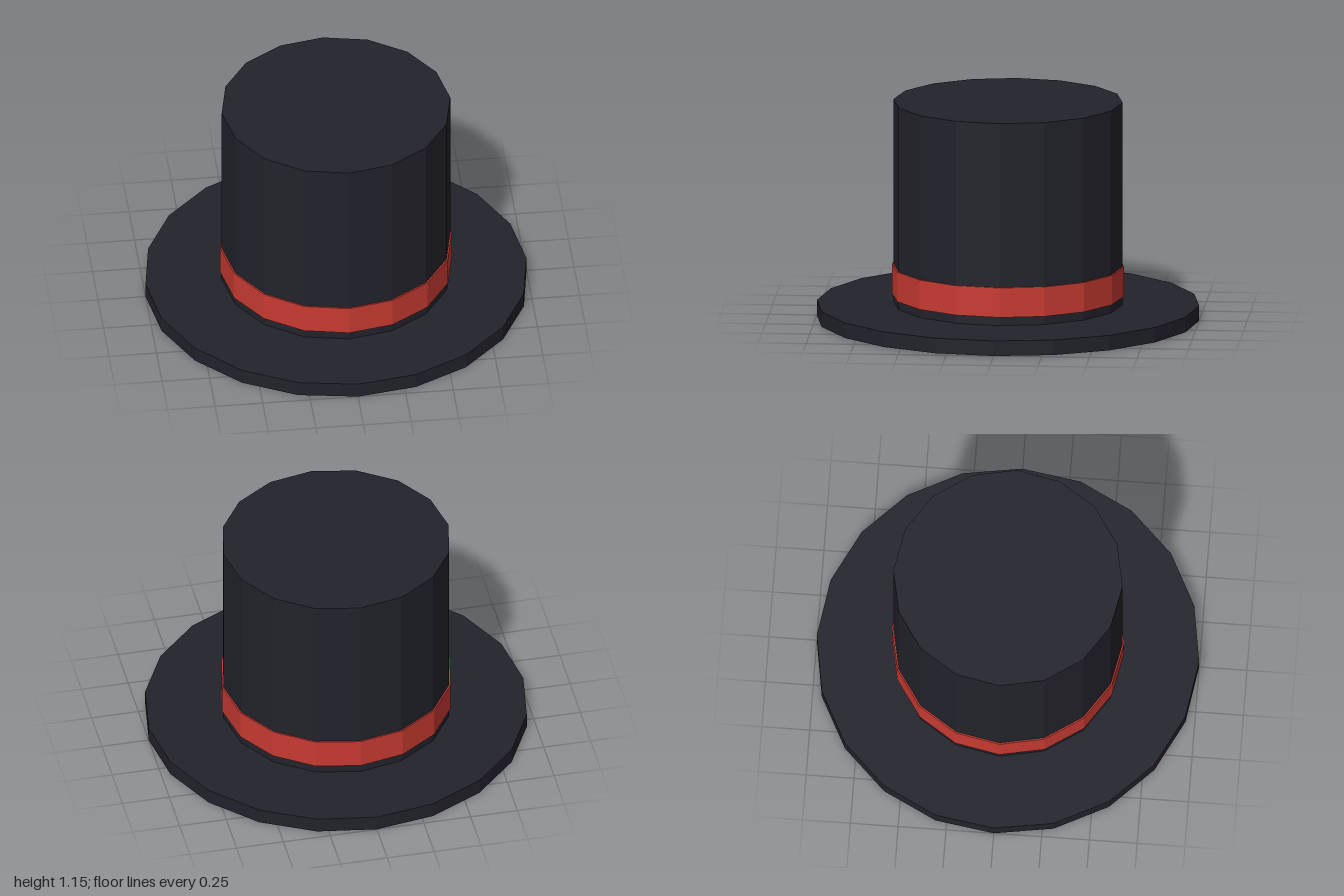
import * as THREE from 'three';

export function createModel() {
  const group = new THREE.Group();
  group.name = 'topHat';

  const felt = new THREE.MeshStandardMaterial({ color: 0x22222b, flatShading: true });
  felt.name = 'dark felt';
  const ribbon = new THREE.MeshStandardMaterial({ color: 0xc83a32, flatShading: true });
  ribbon.name = 'red ribbon';

  // Upright faceted disc or drum between two heights
  function drum(name, radius, bottom, top, sides, material) {
    const geometry = new THREE.CylinderGeometry(radius, radius, top - bottom, sides);
    const mesh = new THREE.Mesh(geometry, material);
    mesh.name = name;
    mesh.position.y = (bottom + top) / 2;
    group.add(mesh);
  }

  drum('brim', 1, 0, 0.08, 20, felt);
  drum('crown', 0.6, 0.08, 1.155, 16, felt);
  drum('hatBand', 0.608, 0.125, 0.282, 16, ribbon);

  return group;
}
